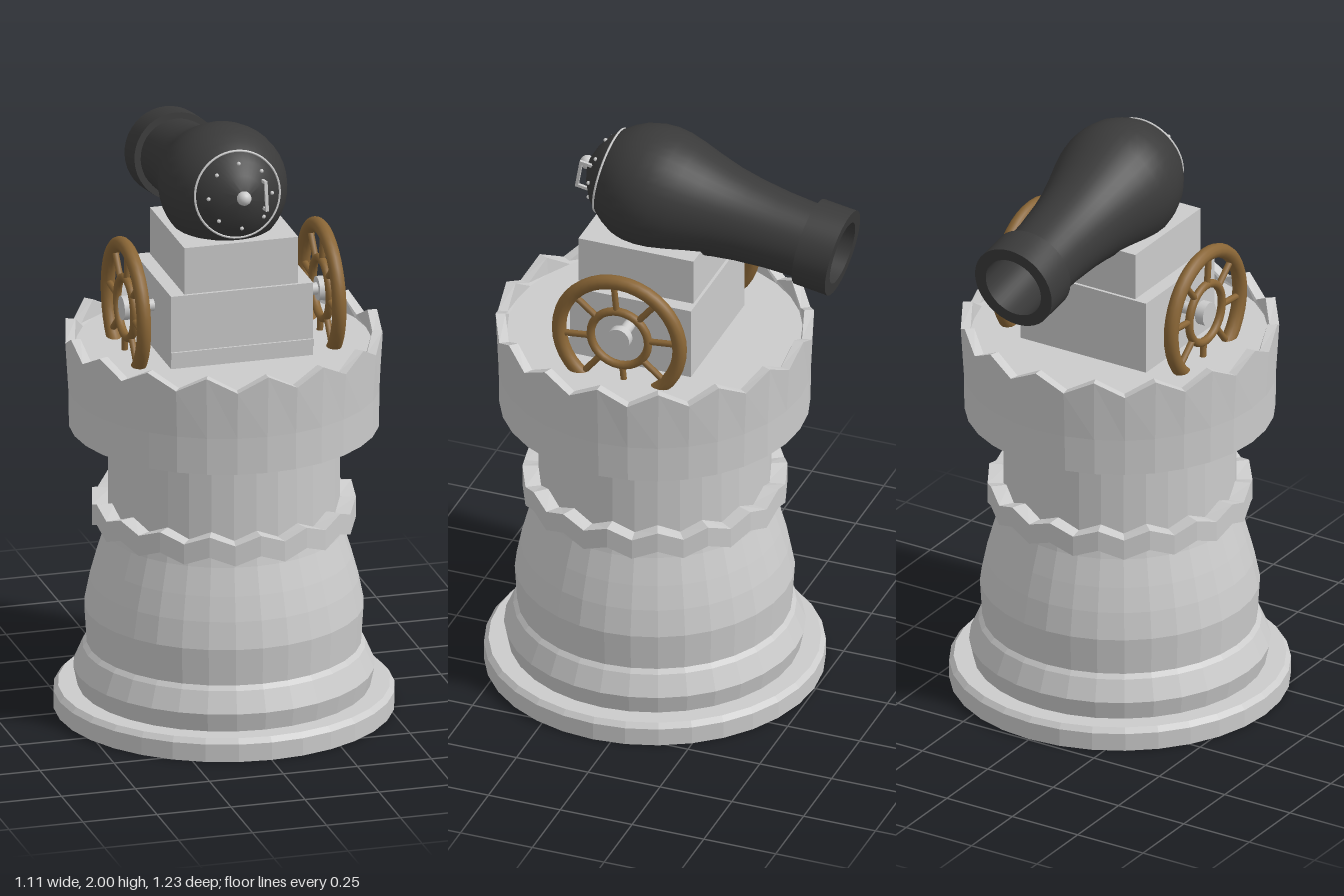
import * as THREE from 'three';
import { toCreasedNormals } from 'three/addons/utils/BufferGeometryUtils.js';

const SIDES = 32;
const AXIS_Z = 0.06; // tower centre line
const stone = new THREE.MeshStandardMaterial({ color: 0xcccccc, flatShading: true });
const metal = new THREE.MeshStandardMaterial({ color: 0xcccccc });
const iron = new THREE.MeshStandardMaterial({ color: 0x3a3a3a });
const wood = new THREE.MeshStandardMaterial({ color: 0x8a6636 });

function add(parent, name, geometry, material, x = 0, y = 0, z = 0) {
  const mesh = new THREE.Mesh(geometry, material);
  mesh.name = name;
  mesh.position.set(x, y, z);
  parent.add(mesh);
  return mesh;
}

const lathe = (points, sides = SIDES) =>
  new THREE.LatheGeometry(points.map(([r, y]) => new THREE.Vector2(r, y)), sides);

// Lathe whose third profile value lowers that point on every second segment
function zigzagBand(points) {
  const geometry = lathe(points);
  const pos = geometry.attributes.position;
  for (let i = 0; i <= SIDES; i++) {
    if (i % 2 === 0) continue;
    points.forEach(([, y, drop = 0], j) => pos.setY(i * points.length + j, y - drop));
  }
  return geometry;
}

function buildTower() {
  const tower = new THREE.Group();
  tower.name = 'tower';
  tower.position.z = AXIS_Z;

  add(tower, 'basePlate', lathe([
    [0, 0], [0.555, 0], [0.555, 0.06], [0.54, 0.077], [0.47, 0.077],
  ]), stone);
  add(tower, 'towerBody', lathe([
    [0.475, 0.07], [0.49, 0.14], [0.46, 0.21], [0.447, 0.225], [0.455, 0.35],
    [0.437, 0.44], [0.415, 0.52], [0.387, 0.61], [0.378, 0.65], [0.378, 0.98],
  ]), stone);
  add(tower, 'zigzagCollar', zigzagBand([
    [0.37, 0.66, 0.03], [0.43, 0.66, 0.03], [0.43, 0.73, 0.03], [0.37, 0.73, 0.03],
  ]), stone);
  add(tower, 'battlement', zigzagBand([
    [0.36, 0.975], [0.505, 0.975], [0.507, 1.1], [0.517, 1.31, 0.05],
    [0.485, 1.31, 0.05], [0.48, 1.25], [0.43, 1.25], [0, 1.25],
  ]), stone);
  return tower;
}

function buildWheel(x) {
  const wheel = new THREE.Group();
  wheel.name = x > 0 ? 'leftWheel' : 'rightWheel';
  wheel.position.set(x, 1.4, 0.055);
  wheel.rotation.y = Math.PI / 2;
  add(wheel, 'rim', new THREE.TorusGeometry(0.21, 0.024, 12, 40), wood);
  add(wheel, 'innerRing', new THREE.TorusGeometry(0.1, 0.014, 10, 32), wood);
  for (let i = 0; i < 8; i++) {
    const a = (i / 8) * Math.PI * 2 + 0.1;
    const spoke = add(wheel, 'spoke', new THREE.CylinderGeometry(0.011, 0.011, 0.11, 8), wood,
      Math.cos(a) * 0.15, Math.sin(a) * 0.15, 0);
    spoke.rotation.z = a - Math.PI / 2;
  }
  return wheel;
}

function buildCarriage() {
  const carriage = new THREE.Group();
  carriage.name = 'carriage';
  add(carriage, 'lowerBlock', new THREE.BoxGeometry(0.48, 0.25, 0.42), stone, 0.003, 1.375, 0.05);
  add(carriage, 'lowerLip', new THREE.BoxGeometry(0.48, 0.025, 0.02), stone, 0.003, 1.295, 0.257);
  add(carriage, 'upperBlock', new THREE.BoxGeometry(0.385, 0.17, 0.4), stone, 0.003, 1.575, 0.05);
  const axle = add(carriage, 'axle', new THREE.CylinderGeometry(0.02, 0.02, 0.66, 16), metal, 0, 1.4, 0.055);
  axle.rotation.z = Math.PI / 2;
  for (const side of [-1, 1]) {
    carriage.add(buildWheel(side * 0.33));
    const hub = add(carriage, 'hub', new THREE.CylinderGeometry(0.04, 0.04, 0.03, 20), metal,
      side * 0.33, 1.4, 0.055);
    hub.rotation.z = Math.PI / 2;
  }
  return carriage;
}

// Built along +y towards the breech, then tipped so the muzzle points back and down
function buildCannon() {
  const cannon = new THREE.Group();
  cannon.name = 'cannon';
  cannon.position.set(0, 1.787, 0.048);
  cannon.rotation.x = THREE.MathUtils.degToRad(80.5);

  add(cannon, 'barrel', toCreasedNormals(lathe([
    [0, -0.25], [0.1, -0.25], [0.105, -0.65], [0.146, -0.65], [0.146, -0.533], [0.125, -0.533],
    [0.13, -0.42], [0.14, -0.32], [0.153, -0.24], [0.172, -0.165], [0.191, -0.1], [0.204, -0.045],
    [0.208, 0], [0.204, 0.045], [0.19, 0.095], [0.168, 0.135], [0.145, 0.165],
    [0.115, 0.197], [0.07, 0.225], [0.03, 0.24], [0, 0.245],
  ], 40), 0.6), iron);

  const seam = add(cannon, 'breechSeam', new THREE.TorusGeometry(0.143, 0.004, 6, 48), metal, 0, 0.169, 0);
  seam.rotation.x = Math.PI / 2;
  for (let i = 0; i < 8; i++) {
    const a = (i / 8) * Math.PI * 2;
    add(cannon, 'rivet', new THREE.SphereGeometry(0.007, 8, 6), metal,
      Math.sin(a) * 0.107, 0.204, Math.cos(a) * 0.107);
  }
  add(cannon, 'breechKnob', new THREE.SphereGeometry(0.024, 16, 12), metal, 0, 0.25, 0);

  // Hatch handle: an upright bar on two short feet
  add(cannon, 'handleBar', new THREE.BoxGeometry(0.01, 0.01, 0.1), metal, 0.075, 0.25, 0);
  for (const z of [-0.045, 0.045]) {
    add(cannon, 'handleFoot', new THREE.BoxGeometry(0.01, 0.05, 0.01), metal, 0.075, 0.228, z);
  }
  return cannon;
}

export function createModel() {
  const model = new THREE.Group();
  model.name = 'cannonTower';
  model.add(buildTower(), buildCarriage(), buildCannon());
  return model;
}
